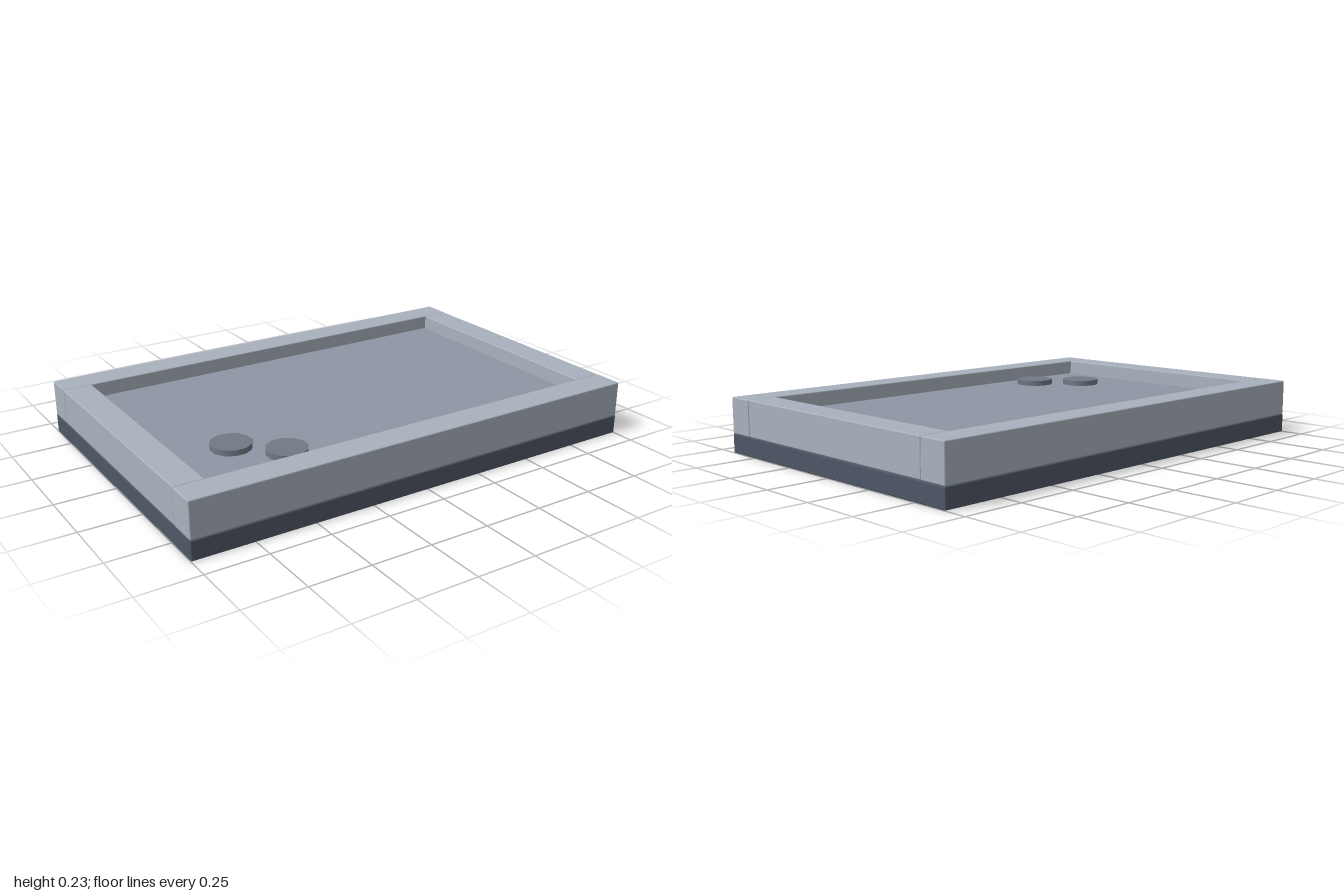
import * as THREE from 'three';
import { RoundedBoxGeometry } from 'three/addons/geometries/RoundedBoxGeometry.js';

const material = (color) => new THREE.MeshStandardMaterial({ color });

export function createModel() {
  const tray = new THREE.Group();
  tray.name = 'tray';
  const baseMat = material(0x4e5666);
  const frameMat = material(0xa9b2bd);
  const floorMat = material(0x8e96a4);
  const discMat = material(0x717985);

  const add = (name, geometry, mat, x, y, z) => {
    const mesh = new THREE.Mesh(geometry, mat);
    mesh.name = name;
    mesh.position.set(x, y, z);
    tray.add(mesh);
    return mesh;
  };
  // Box with slightly eased edges
  const block = (w, h, d) => new RoundedBoxGeometry(w, h, d, 2, 0.005);

  // Base slab
  add('base', block(2, 0.08, 1.31), baseMat, 0, 0.04, 0);

  // Recessed floor panel
  add('floor', new THREE.BoxGeometry(1.77, 0.09, 1.07), floorMat, 0, 0.122, 0);

  // Raised frame: long rails front and back, short rails between them
  for (const side of [1, -1]) {
    add(side > 0 ? 'frontRail' : 'backRail', block(2, 0.15, 0.122), frameMat, 0, 0.155, side * 0.593);
    add(side > 0 ? 'leftRail' : 'rightRail', block(0.122, 0.15, 1.062), frameMat, side * 0.938, 0.155, 0);
  }

  // Two low discs lying on the floor
  [[-0.62, 0.23], [-0.465, 0.385]].forEach(([x, z], i) => {
    add(`disc${i + 1}`, new THREE.CylinderGeometry(0.083, 0.083, 0.025, 12), discMat, x, 0.178, z)
      .rotation.y = Math.PI / 12;
  });

  return tray;
}
